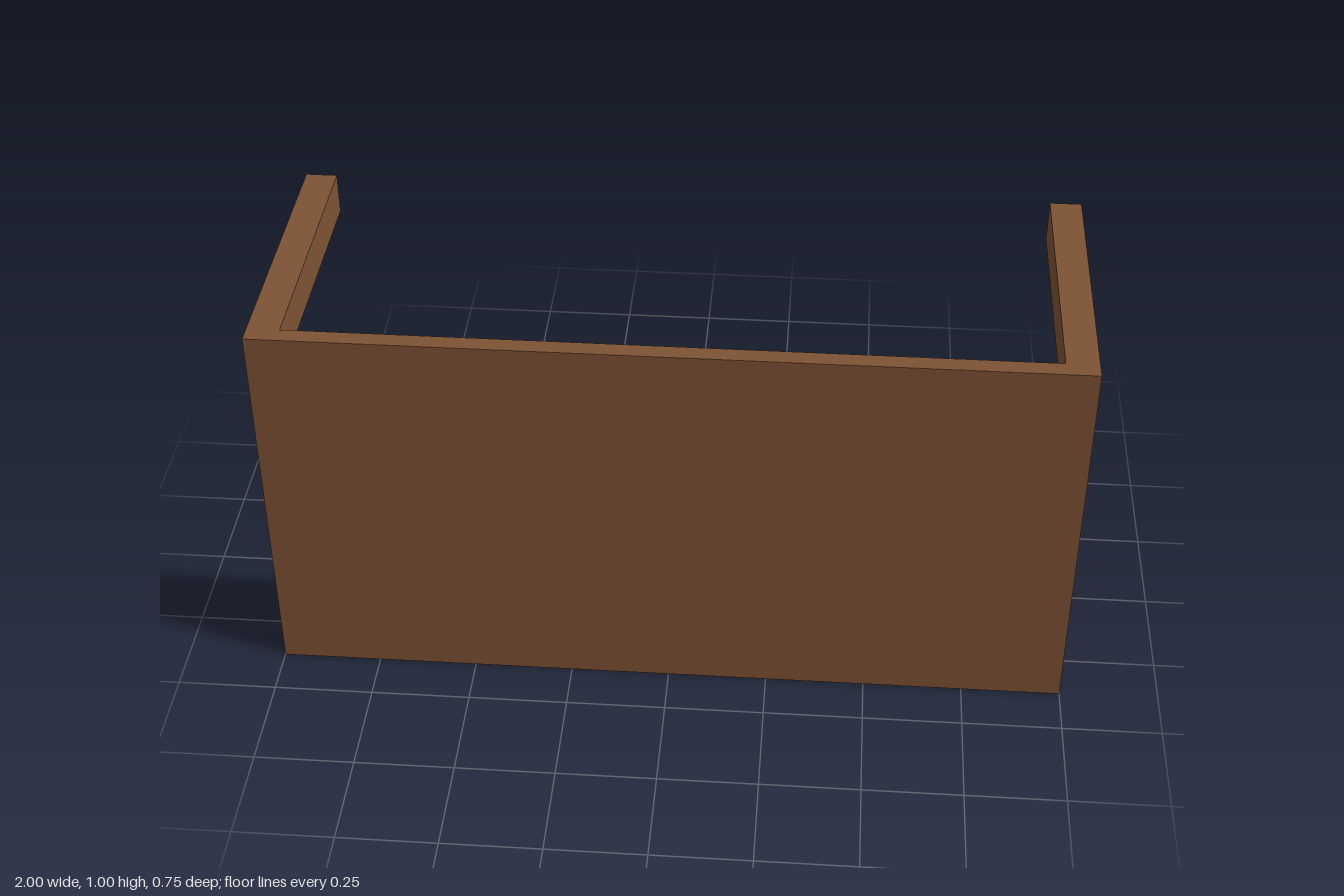
import * as THREE from 'three';

export function createModel() {
  const model = new THREE.Group();
  model.name = 'table';
  const wood = new THREE.MeshStandardMaterial({ color: 0x7d5234 });
  wood.name = 'brown wood';

  // Box given by its size and centre
  const addBox = (name, size, centre) => {
    const mesh = new THREE.Mesh(new THREE.BoxGeometry(...size), wood);
    mesh.name = name;
    mesh.position.set(...centre);
    model.add(mesh);
  };

  const depth = 0.75, topThickness = 0.044;
  const legWidth = 0.08, legHeight = 0.108, legLength = depth - topThickness;

  for (const side of [-1, 1]) {
    const sideName = side > 0 ? 'left' : 'right';

    // Upright tabletop, two square panels meeting in the middle
    addBox(`${sideName}TopPanel`, [1, 1, topThickness],
      [side * 0.5, 0.5, (depth - topThickness) / 2]);

    // Legs reaching back from the corners
    for (const upper of [false, true]) {
      addBox(`${sideName}${upper ? 'Upper' : 'Lower'}Leg`, [legWidth, legHeight, legLength],
        [side * (1 - legWidth / 2), upper ? 1 - legHeight / 2 : legHeight / 2, -topThickness / 2]);
    }
  }
  return model;
}
